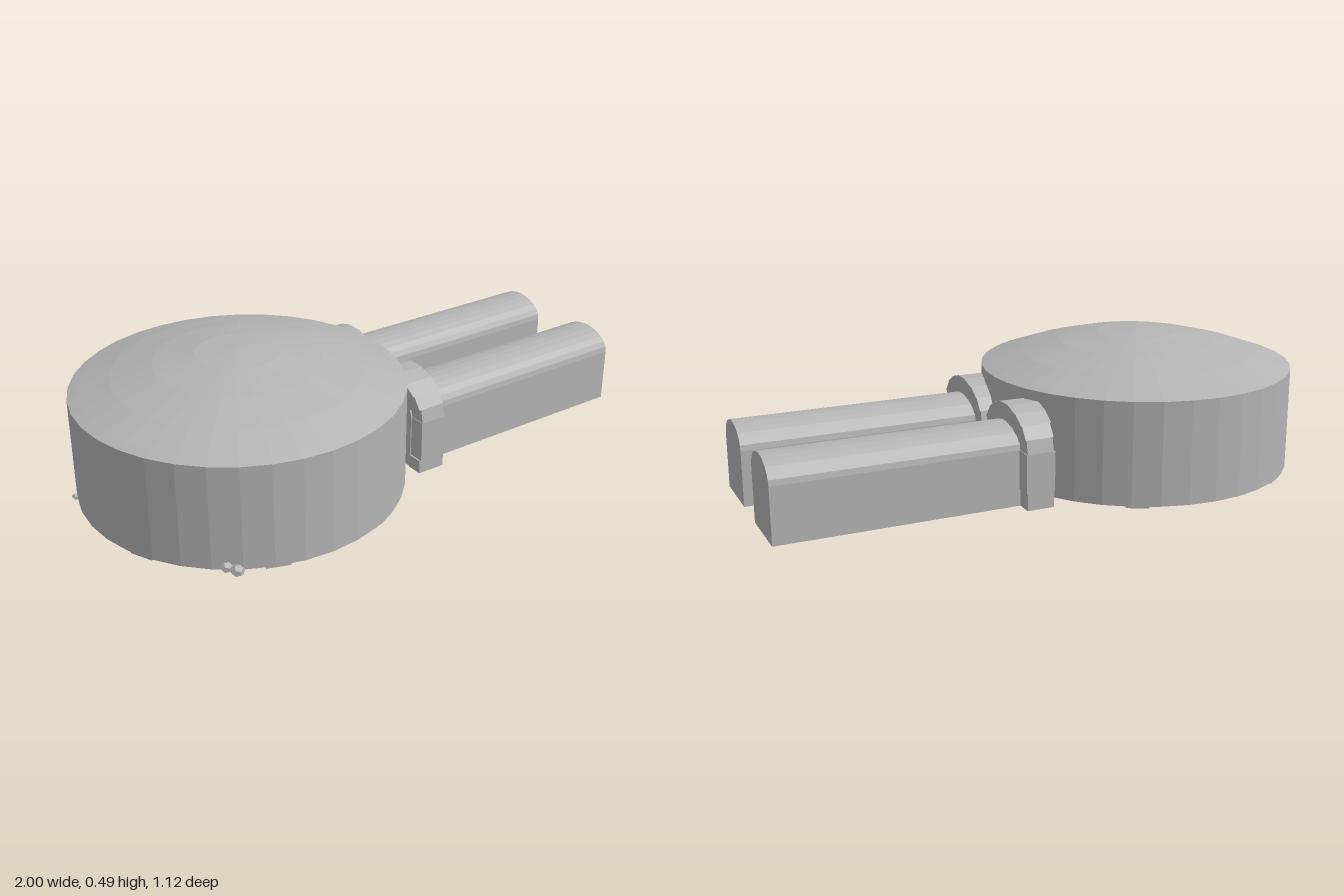
import * as THREE from 'three';

const stone = new THREE.MeshStandardMaterial({ color: 0xb4b4b4, flatShading: true });
stone.name = 'grey stone';

const CX = -0.44, R = 0.56, BASE = 0.007, EAVE = 0.367;

function add(parent, name, geometry, x = 0, y = 0, z = 0) {
  const mesh = new THREE.Mesh(geometry, stone);
  mesh.name = name;
  mesh.position.set(x, y, z);
  parent.add(mesh);
  return mesh;
}

// Extrudes a (z, y) outline along +x from x0 to x1
function extrudeX(points, x0, x1) {
  const shape = new THREE.Shape(points.map(([z, y]) => new THREE.Vector2(-z, y)));
  const g = new THREE.ExtrudeGeometry(shape, { depth: x1 - x0, bevelEnabled: false });
  g.rotateY(Math.PI / 2);
  g.translate(x0, 0, 0);
  return g;
}

// Point on a flattened arch; angle runs from +z (0) to -z (PI)
const SPRING = 0.2;
const archPoint = (halfWidth, rise, a) => [halfWidth * Math.cos(a), SPRING + rise * Math.sin(a)];

// Barrel-vaulted corridor with closed ends
function vault() {
  const pts = [[0.112, BASE]];
  for (let i = 0; i <= 12; i++) pts.push(archPoint(0.112, 0.074, (i / 12) * Math.PI));
  pts.push([-0.112, BASE]);
  return extrudeX(pts, 0.07, 1);
}

// Portal of slightly uneven stone blocks
function portal(seed) {
  const group = new THREE.Group();
  const rand = () => {
    seed = (seed * 16807) % 2147483647;
    return seed / 2147483647;
  };
  const n = 9;
  for (let i = 0; i < n; i++) {
    const a = (i / n) * Math.PI, b = ((i + 1) / n) * Math.PI;
    const top = Math.sin((a + b) / 2);
    add(group, 'archStone', extrudeX([
      archPoint(0.11, 0.073, a), archPoint(0.17, 0.134, a),
      archPoint(0.17, 0.134, b), archPoint(0.11, 0.073, b),
    ], 0.078 - 0.014 * top - 0.004 * rand(), 0.166 + 0.008 * top + 0.002 * rand()));
  }
  for (const side of [-1, 1]) {
    const joint = 0.05 + 0.06 * rand();
    for (const [y0, y1] of [[BASE, joint], [joint, SPRING]]) {
      const x0 = 0.066 + 0.014 * rand(), x1 = 0.166 + 0.008 * rand();
      add(group, 'jambStone', new THREE.BoxGeometry(x1 - x0, y1 - y0, 0.06),
        (x0 + x1) / 2, (y0 + y1) / 2, side * 0.14);
    }
  }
  return group;
}

export function createModel() {
  const model = new THREE.Group();
  model.name = 'domedHall';

  // Round wall and floor
  add(model, 'roundWall', new THREE.CylinderGeometry(R, R, EAVE - BASE, 36),
    CX, (EAVE + BASE) / 2, 0);

  // Shallow dome
  const profile = [[R, EAVE], [0.53, 0.378], [0.42, 0.416], [0.28, 0.453], [0.14, 0.479], [0, 0.488]]
    .map(([r, y]) => new THREE.Vector2(r, y));
  add(model, 'dome', new THREE.LatheGeometry(profile, 36), CX, 0, 0);

  // Twin corridors with their portals
  [[0.168, 71], [-0.207, 1203]].forEach(([z, seed]) => {
    const corridor = new THREE.Group();
    corridor.name = 'corridor';
    corridor.position.z = z;
    add(corridor, 'vault', vault());
    const arch = portal(seed);
    arch.name = 'portal';
    corridor.add(arch);
    model.add(corridor);
  });

  // Loose stone between the portals
  add(model, 'wedgeStone', new THREE.BoxGeometry(0.04, 0.05, 0.025), 0.1, 0.24, 0.01);

  // Rubble at the foot of the wall
  [[-0.75, 0.025, 0.5, 0.024], [-0.765, 0.02, 0.46, 0.022], [-0.972, 0.014, -0.185, 0.014]]
    .forEach(([x, y, z, r]) => {
      add(model, 'rubble', new THREE.DodecahedronGeometry(r).scale(1, 0.75, 1), x, y, z);
    });

  // Low footing chips under the rim
  for (const a of [0.4, 1.1, 1.9, 2.7, 4.1, 5.2]) {
    const chip = add(model, 'footingChip', new THREE.BoxGeometry(0.04, 0.01, 0.08),
      CX + 0.535 * Math.cos(a), 0.005, 0.535 * Math.sin(a));
    chip.rotation.y = -a;
  }
  return model;
}
